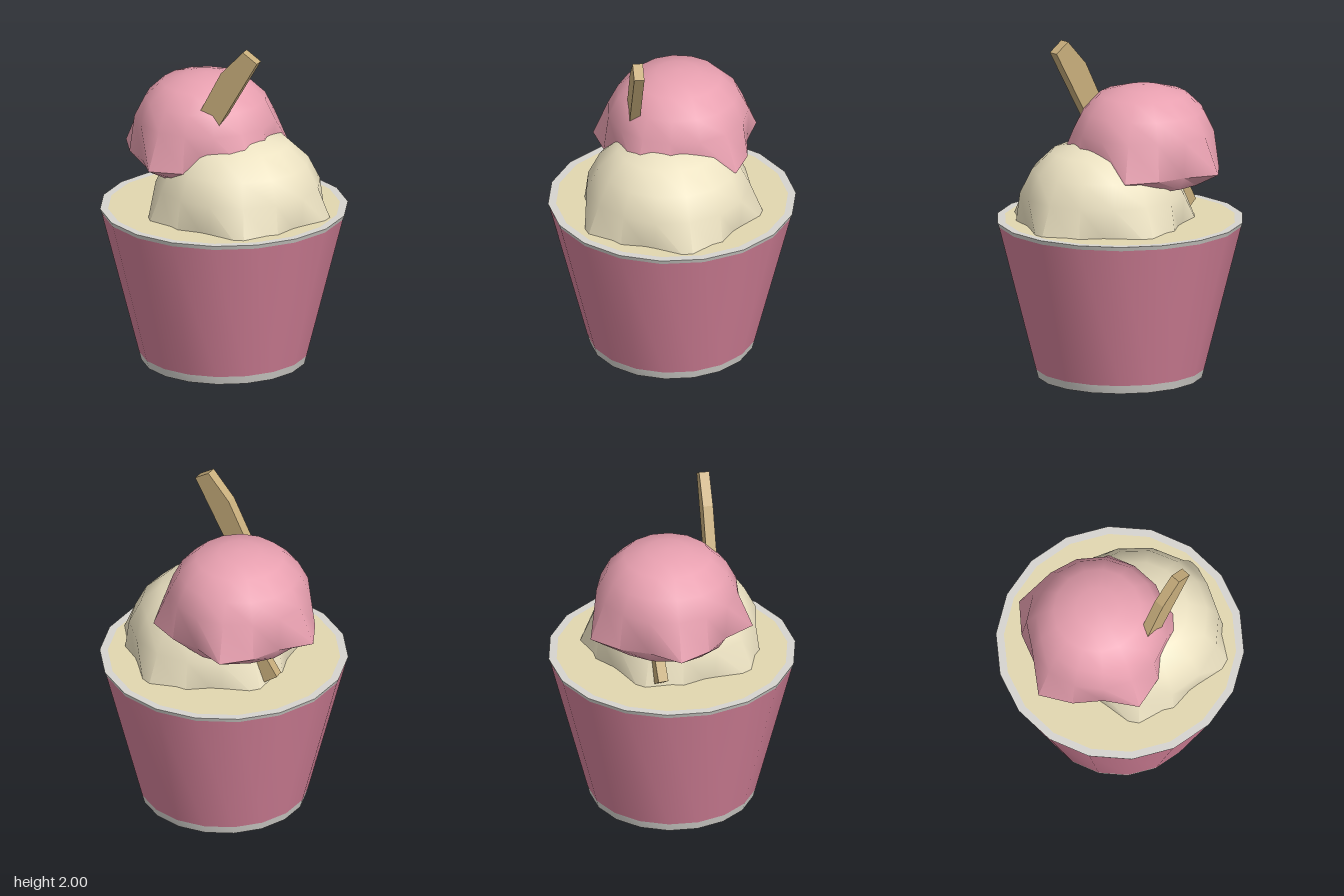
import * as THREE from 'three';
import { mergeVertices, toCreasedNormals } from 'three/addons/utils/BufferGeometryUtils.js';

const PINK = 0xe8a0b0, CUP = 0xd6829a, CREAM = 0xece2c2, FILLING = 0xe2d7b0, WAFER = 0xc8ae7c, PAPER = 0xd6d4cf;

function add(group, name, geometry, color) {
  const material = new THREE.MeshStandardMaterial({ color, side: THREE.DoubleSide });
  const mesh = new THREE.Mesh(geometry, material);
  mesh.name = name;
  group.add(mesh);
  return mesh;
}

// Sharp edges where faces meet steeply, smooth elsewhere
function crease(geometry, angle) {
  geometry.deleteAttribute('normal');
  geometry.deleteAttribute('uv');
  return toCreasedNormals(mergeVertices(geometry), angle);
}

// Eighteen-sided band of the cup; profile runs from bottom to top
function band(...profile) {
  const points = profile.map(([r, y]) => new THREE.Vector2(r, y));
  return crease(new THREE.LatheGeometry(points, 18, Math.PI / 18), 0.6);
}

// Dome with a ragged skirt of five points, hanging down from its top at y = 0
function scoop(scale) {
  const profile = [[0, -0.55], [0.36, -0.57], [0.44, -0.49], [0.42, -0.27],
    [0.36, -0.15], [0.26, -0.055], [0.13, -0.018], [0, 0]];
  const geometry = new THREE.LatheGeometry(profile.map(([r, y]) => new THREE.Vector2(r, y)), 15);
  const skirt = [1.16, 1.02, 0.93];
  const pos = geometry.attributes.position;
  for (let seg = 0; seg <= 15; seg++) {
    const i = seg * profile.length + 2;
    const k = skirt[seg % 3];
    pos.setXYZ(i, pos.getX(i) * k, pos.getY(i), pos.getZ(i) * k);
  }
  return crease(geometry, 0.7).scale(scale, scale, scale);
}

// Flat wafer cut from an outline in x and y
function wafer(outline) {
  const shape = new THREE.Shape(outline.map(([x, y]) => new THREE.Vector2(x, y)));
  return new THREE.ExtrudeGeometry(shape, { depth: 0.06, bevelEnabled: false });
}

export function createModel() {
  const model = new THREE.Group();
  model.name = 'iceCreamCup';

  // Paper cup: foot, coloured wall, rim and filling
  add(model, 'cupFoot', band([0, 0], [0.485, 0], [0.498, 0.05]), PAPER);
  add(model, 'cupWall', band([0.498, 0.05], [0.718, 0.915]), CUP);
  add(model, 'cupRim', band([0.718, 0.915], [0.727, 0.94], [0.68, 0.94]), PAPER);
  add(model, 'filling', band([0.68, 0.94], [0, 0.94]), FILLING);

  // Two scoops, the smaller resting on the larger
  const lower = add(model, 'creamScoop', scoop(1.15), CREAM);
  lower.position.set(0.1, 1.42, 0.05);
  lower.rotation.y = Math.PI / 2;
  const upper = add(model, 'pinkScoop', scoop(0.99), PINK);
  upper.position.set(-0.13, 1.73, -0.07);
  upper.rotation.y = THREE.MathUtils.degToRad(45.5);

  // Wafer leaning out of the top scoop
  const stick = add(model, 'wafer', wafer([[0.2, 2], [0.06, 1.85], [-0.06, 1.62],
    [-0.15, 1.45], [-0.06, 1.33], [0.03, 1.49], [0.29, 1.94]]), WAFER);
  stick.position.z = 0.2;
  stick.rotation.y = -0.15;

  // Wafer end poking out of the lower scoop
  const tip = add(model, 'waferTip', wafer([[-0.43, 1.01], [-0.3, 0.92], [-0.2, 1.1], [-0.34, 1.16]]), WAFER);
  tip.position.z = -0.22;

  return model;
}
